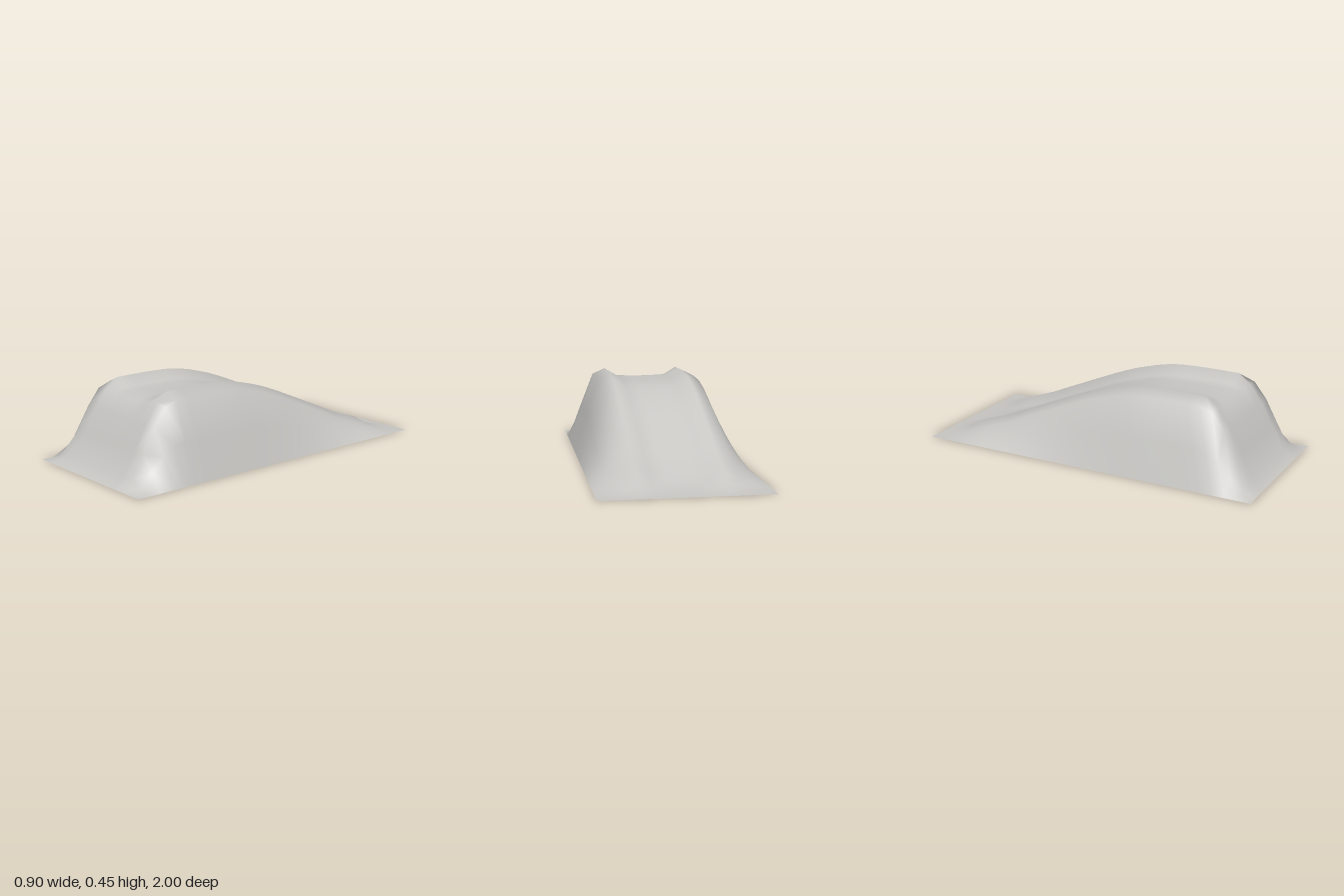
import * as THREE from 'three';

// Ramp floor height for each row, from the front edge to the back edge
const FLOOR = [
  0, 0.045, 0.17, 0.3, 0.385, 0.4, 0.402, 0.403, 0.403, 0.402, 0.399, 0.39, 0.375, 0.356, 0.335,
  0.309, 0.281, 0.251, 0.221, 0.19, 0.16, 0.129, 0.098, 0.072, 0.048, 0.024, 0.012, 0.003, 0,
];
// Across the width, from the centre line to the side edge (0.075 apart)
const BODY = [1, 1, 1, 1, 1, 0.51, 0];
const RAIL = [0, 0.02, 0.1, 1, 0.3, 0.15, 0];

// The raised rails run along the top and fade out at both ends
function railHeight(row) {
  if (row < 4 || row > 26) return 0;
  if (row === 4) return 0.012;
  if (row === 26) return 0.02;
  return 0.05;
}

export function createModel() {
  const group = new THREE.Group();
  group.name = 'ramp';

  const grey = new THREE.MeshStandardMaterial({ color: 0xc8c7c4, side: THREE.DoubleSide });
  grey.name = 'light grey';

  // Open sheet, lifted by the lengthwise and crosswise profiles
  const rows = FLOOR.length - 1;
  const geometry = new THREE.PlaneGeometry(0.9, 2, 12, rows);
  geometry.rotateX(-Math.PI / 2);
  const position = geometry.attributes.position;
  for (let i = 0; i < position.count; i++) {
    const column = Math.round(Math.abs(position.getX(i)) / 0.075);
    const row = Math.round(((1 - position.getZ(i)) / 2) * rows);
    position.setY(i, FLOOR[row] * BODY[column] + railHeight(row) * RAIL[column]);
  }
  geometry.computeVertexNormals();

  const sheet = new THREE.Mesh(geometry, grey);
  sheet.name = 'rampSurface';
  group.add(sheet);
  return group;
}
